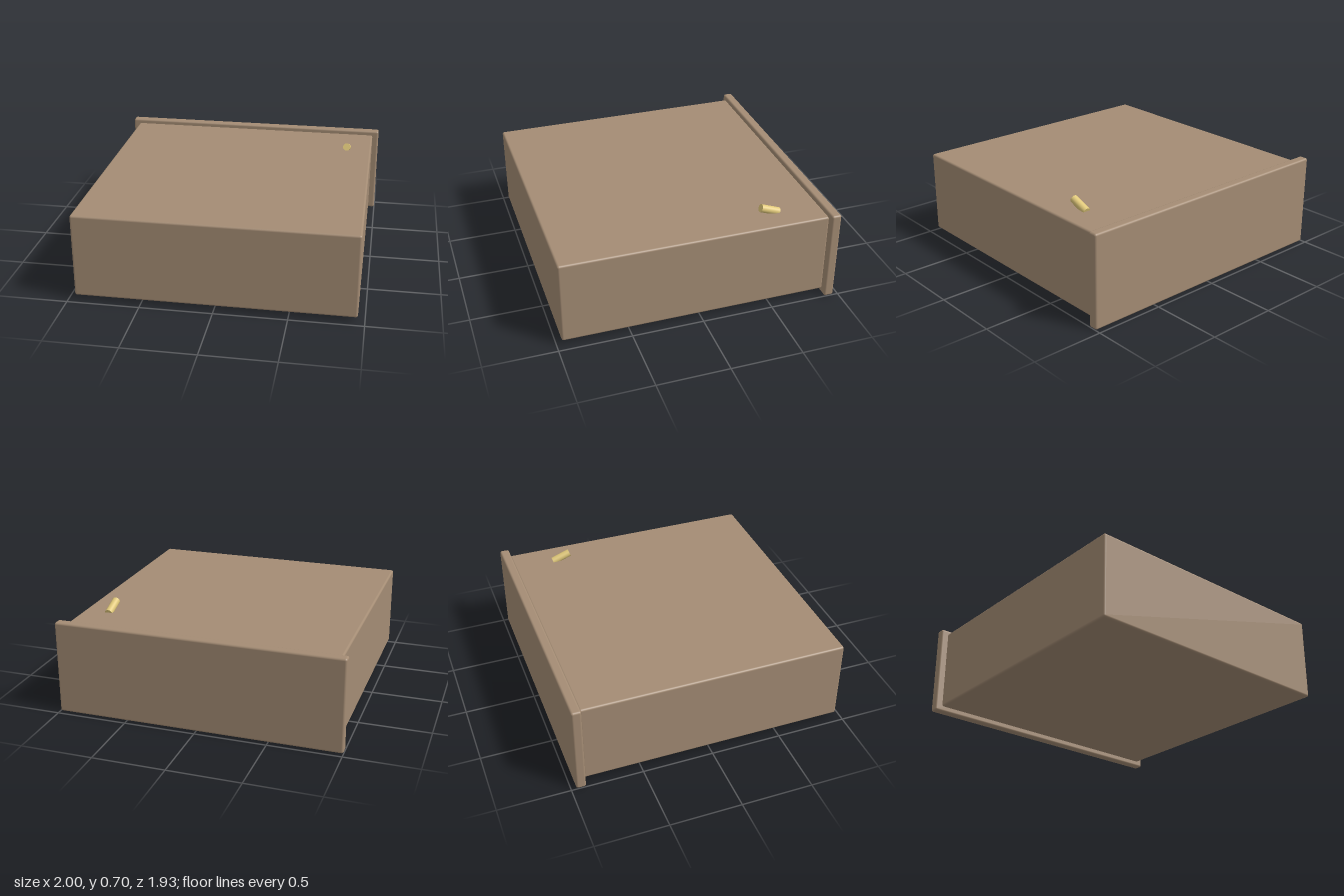
import * as THREE from 'three';
import { RoundedBoxGeometry } from 'three/addons/geometries/RoundedBoxGeometry.js';

export function createModel() {
  const group = new THREE.Group();
  const wood = new THREE.MeshStandardMaterial({ color: 0xa48c74 });
  const brass = new THREE.MeshStandardMaterial({ color: 0xe0c87a });

  // Softly rounded block given by its minimum and maximum corners
  function block(name, min, max, radius) {
    const size = max.map((v, i) => v - min[i]);
    const mesh = new THREE.Mesh(new RoundedBoxGeometry(...size, 4, radius), wood);
    mesh.position.set(...max.map((v, i) => (v + min[i]) / 2));
    mesh.name = name;
    group.add(mesh);
  }

  // Main box and the wider panel at its back
  block('body', [-0.953, 0.035, -0.9], [0.953, 0.626, 0.965], 0.015);
  block('backPanel', [-1, 0, -0.965], [1, 0.656, -0.897], 0.015);

  // Small peg leaning out of the top, rising towards the front
  const peg = new THREE.Mesh(new THREE.CylinderGeometry(0.0275, 0.0275, 0.14, 32), brass);
  peg.name = 'peg';
  peg.position.set(0.77, 0.647, -0.54);
  peg.rotation.x = Math.PI / 2 - 0.36;
  group.add(peg);

  return group;
}
